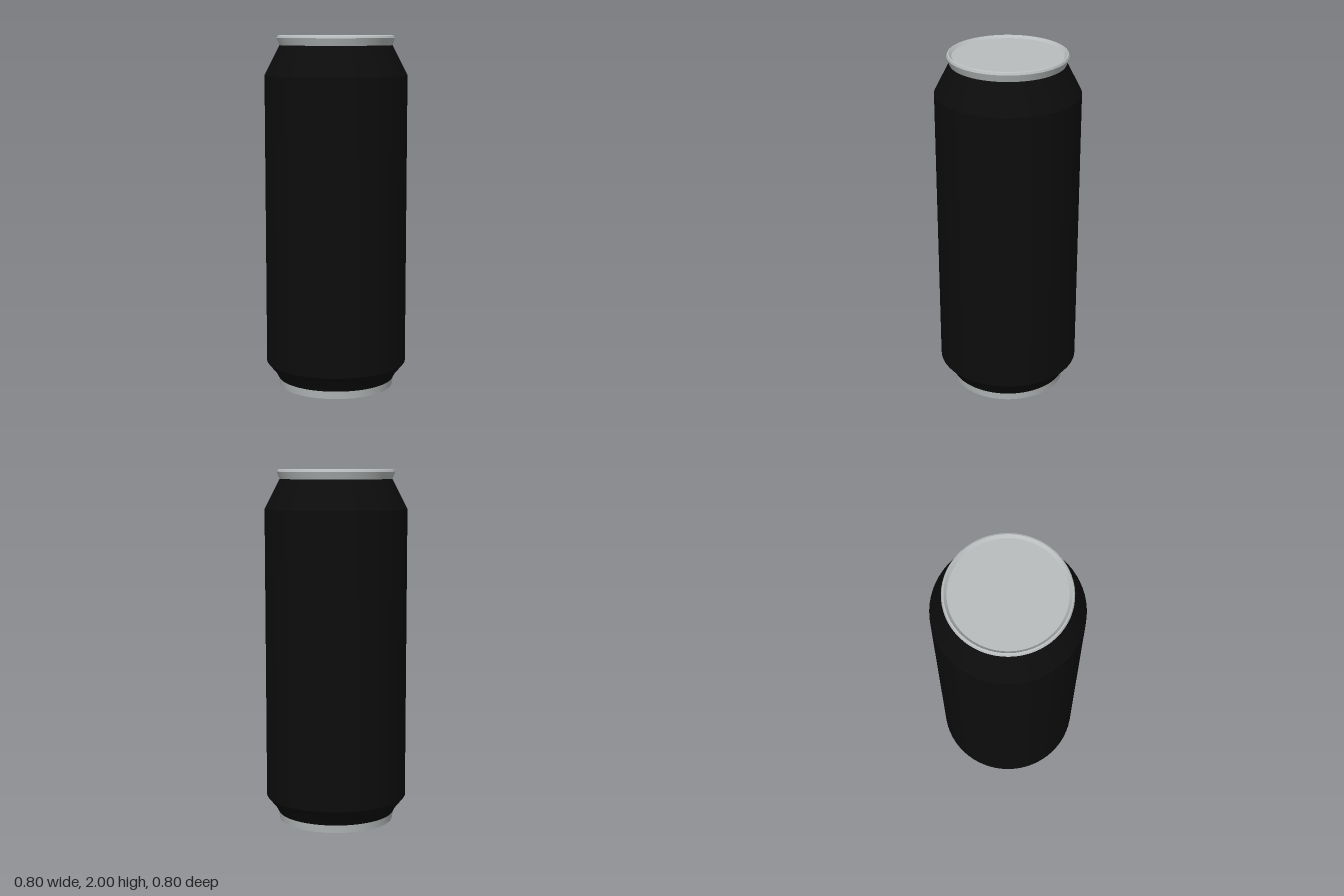
import * as THREE from 'three';
import { toCreasedNormals } from 'three/addons/utils/BufferGeometryUtils.js';

const SIDES = 64;

export function createModel() {
  const can = new THREE.Group();
  can.name = 'drinkCan';

  const black = new THREE.MeshStandardMaterial({ color: 0x0c0c0c });
  black.name = 'black';
  const aluminium = new THREE.MeshStandardMaterial({ color: 0xb9bdbd });
  aluminium.name = 'aluminium';

  // Turns a [radius, height] profile, listed so that it runs up the outside
  const turn = (name, profile, material) => {
    const points = profile.map(([r, y]) => new THREE.Vector2(r, y));
    const geometry = toCreasedNormals(new THREE.LatheGeometry(points, SIDES), 0.3);
    const mesh = new THREE.Mesh(geometry, material);
    mesh.name = name;
    can.add(mesh);
  };

  // Recessed base panel
  turn('basePanel', [[0, 0.04], [0.15, 0.034], [0.29, 0.02]], black);

  // Standing ring around the base
  turn('baseRing', [[0.29, 0.02], [0.3, 0.004], [0.308, 0], [0.325, 0], [0.332, 0.045]], aluminium);

  // Body with tapered foot and shoulder
  turn('body', [
    [0.332, 0.045], [0.347, 0.075], [0.4, 0.14], [0.4, 1.78], [0.315, 1.945],
  ], black);

  // Rolled rim at the top
  turn('topRim', [
    [0.315, 1.945], [0.33, 1.985], [0.325, 1.997], [0.317, 2], [0.302, 1.985],
  ], aluminium);

  // Flat lid inside the rim
  turn('lid', [[0.302, 1.985], [0, 1.985]], aluminium);

  return can;
}
